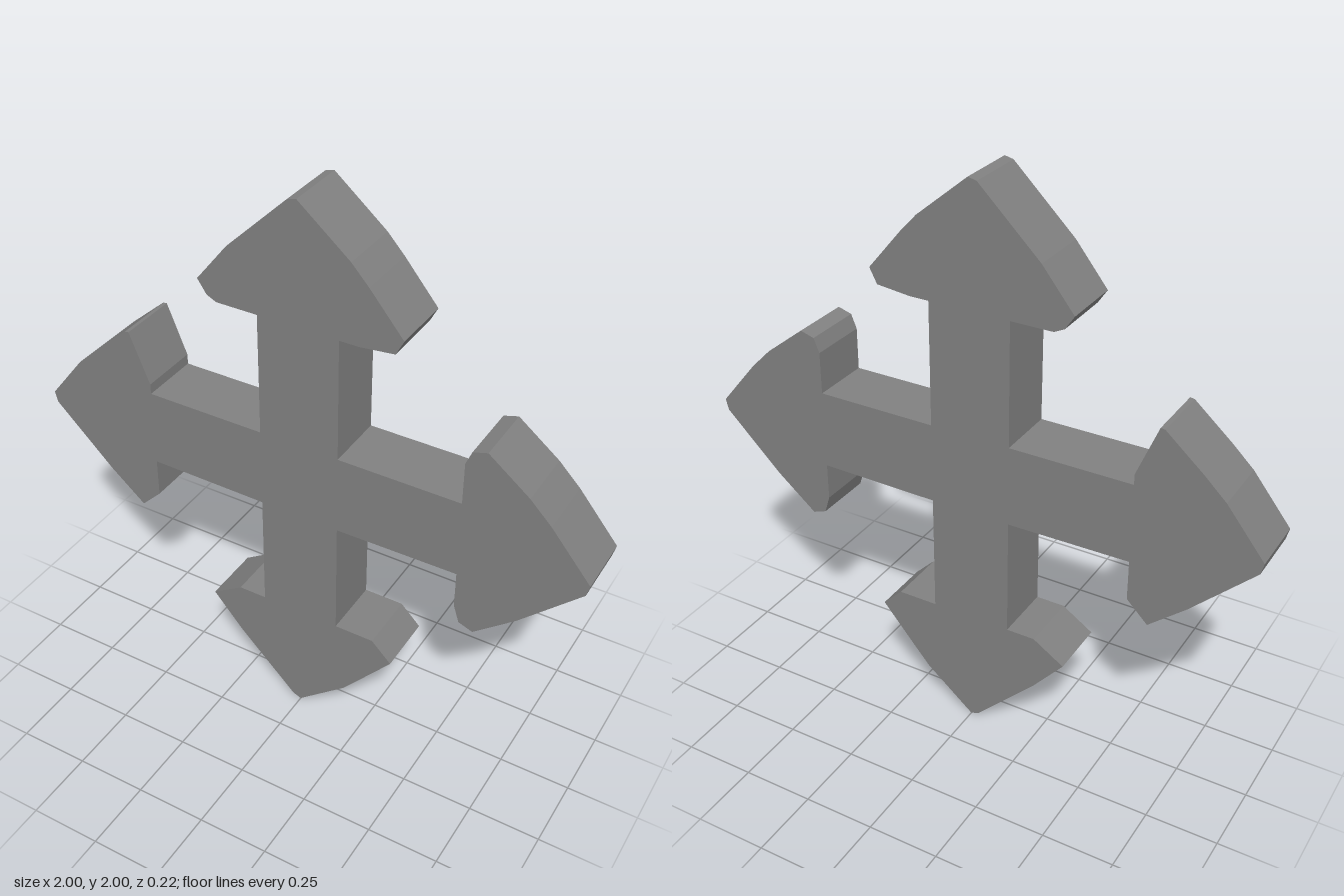
import * as THREE from 'three';

const THICKNESS = 0.215;
const HALF_SHAFT = 0.143; // half width of each shaft
const CENTER_Y = 1;

// Each arrowhead outline runs clockwise, from shaft edge to shaft edge.
const topHead = [
  [-0.143, 1.58], [-0.29, 1.58], [-0.325, 1.597], [-0.357, 1.645], [-0.245, 1.785],
  [-0.03, 1.993], [0, 2], [0.18, 1.85], [0.24, 1.785], [0.357, 1.645],
  [0.33, 1.593], [0.21, 1.58], [0.143, 1.58],
];
const rightHead = [
  [0.573, 1.143], [0.573, 1.293], [0.593, 1.343], [0.643, 1.358], [0.785, 1.247],
  [0.86, 1.172], [1, 1.005], [0.99, 0.965], [0.785, 0.765], [0.643, 0.648],
  [0.593, 0.667], [0.573, 0.73], [0.573, 0.862],
];
const bottomHead = [
  [0.143, 0.43], [0.285, 0.43], [0.357, 0.358], [0.24, 0.22], [0.175, 0.145],
  [0, 0], [-0.03, 0.012], [-0.245, 0.227], [-0.357, 0.358], [-0.245, 0.43], [-0.143, 0.43],
];
const leftHead = [
  [-0.573, 0.862], [-0.573, 0.72], [-0.647, 0.646], [-0.775, 0.755], [-0.99, 0.965],
  [-1, 1.005], [-0.867, 1.172], [-0.79, 1.245], [-0.66, 1.358], [-0.645, 1.36],
  [-0.573, 1.18], [-0.573, 1.143],
];

export function createModel() {
  const group = new THREE.Group();
  group.name = 'fourWayArrow';

  const grey = new THREE.MeshStandardMaterial({ color: 0x808080 });
  grey.name = 'grey';

  // Inner corner where two shafts meet
  const corner = (sx, sy) => [sx * HALF_SHAFT, CENTER_Y + sy * HALF_SHAFT];

  // One outline: four heads linked by the crossing shafts
  const outline = [
    ...topHead, corner(1, 1),
    ...rightHead, corner(1, -1),
    ...bottomHead, corner(-1, -1),
    ...leftHead, corner(-1, 1),
  ].map(([x, y]) => new THREE.Vector2(x, y));

  const geometry = new THREE.ExtrudeGeometry(new THREE.Shape(outline), {
    depth: THICKNESS,
    bevelEnabled: false,
  });
  geometry.translate(0, 0, -THICKNESS / 2);

  const body = new THREE.Mesh(geometry, grey);
  body.name = 'crossedArrows';
  group.add(body);
  return group;
}
